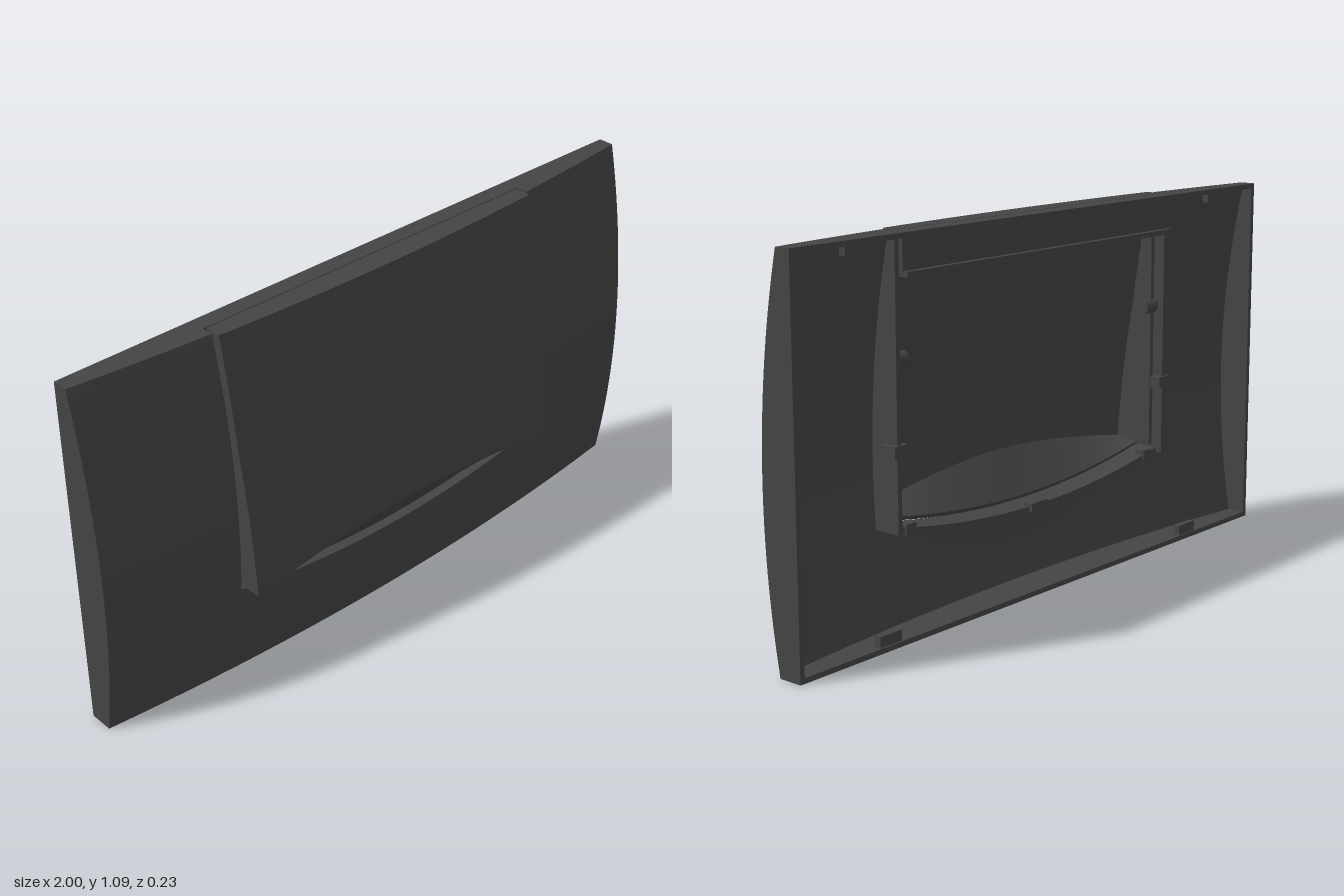
import * as THREE from 'three';
import { mergeGeometries, toCreasedNormals } from 'three/addons/utils/BufferGeometryUtils.js';

const plastic = new THREE.MeshStandardMaterial({ color: 0x444444 });
plastic.name = 'charcoal plastic';

const W = 1, H = 1.09, BACK = -0.115, T = 0.02;
const OPEN = 0.58, BTN = 0.572, NOTCH = 0.97, FLOOR = -0.063, CREASE = 0.77;
const lerp = THREE.MathUtils.lerp;

// Doubly curved face of the frame, and the flat finger scoop cut into it
const frameZ = (x, y) => 0.062 - 0.06 * x * x - 0.19 * (y - 0.485) ** 2;
const SCOOP = 0.039;
const openingY = x => 0.24 + 0.06 * (x / OPEN) ** 2;
const scoopY = x => Math.min(openingY(x),
  0.485 - Math.sqrt(Math.max(0, 0.062 - SCOOP - 0.06 * x * x) / 0.19));
const scoopZ = (x, y) => Math.min(SCOOP, frameZ(x, y));

// Face of the push button, in two gently curved panels
const lipY = x => 0.38 - 0.07 * (x / BTN) ** 2;
function buttonZ(x, y) {
  const t = y > CREASE ? (H - y) / (H - CREASE) : (CREASE - y) / 0.39;
  const z = y > CREASE ? 0.01 + 0.053 * (1.25 * t - 0.25 * t * t) : 0.063 + 0.052 * (1.4 * t - 0.4 * t * t);
  return z - 0.06 * x * x;
}

// Closed solid between a front and a back sheet, both given as (u, v) -> [x, y, z]
function solid(front, back, nu = 24, nv = 12) {
  const pos = [], idx = [], n = (nu + 1) * (nv + 1);
  for (const sheet of [front, back])
    for (let j = 0; j <= nv; j++)
      for (let i = 0; i <= nu; i++) pos.push(...sheet(i / nu, j / nv));
  const at = (i, j) => j * (nu + 1) + i;
  const quad = (a, b, c, d) => idx.push(a, b, c, a, c, d);
  for (let j = 0; j < nv; j++)
    for (let i = 0; i < nu; i++) {
      const q = [at(i, j), at(i + 1, j), at(i + 1, j + 1), at(i, j + 1)];
      quad(...q);
      quad(...q.reverse().map(k => k + n));
    }
  const edge = (a, b) => quad(b, a, a + n, b + n);
  for (let i = 0; i < nu; i++) {
    edge(at(i, 0), at(i + 1, 0));
    edge(at(i + 1, nv), at(i, nv));
  }
  for (let j = 0; j < nv; j++) {
    edge(at(nu, j), at(nu, j + 1));
    edge(at(0, j + 1), at(0, j));
  }
  const g = new THREE.BufferGeometry();
  g.setAttribute('position', new THREE.Float32BufferAttribute(pos, 3));
  g.setIndex(idx);
  return toCreasedNormals(g, 0.5);
}

// Solid over x0..x1 and y0(x)..y1(x), between two depth functions
function slab(x0, x1, y0, y1, zf, zb, nu, nv) {
  const f = a => (typeof a === 'function' ? a : () => a);
  const sheet = z => (u, v) => {
    const x = lerp(x0, x1, u), y = lerp(f(y0)(x), f(y1)(x), v);
    return [x, y, f(z)(x, y)];
  };
  return solid(sheet(zf), sheet(zb), nu, nv);
}

const span = (s, a, b) => (s > 0 ? [a, b] : [-b, -a]);

function part(name, geometries) {
  const m = new THREE.Mesh(mergeGeometries(geometries), plastic);
  m.name = name;
  return m;
}

function box(name, w, h, d, x, y, z) {
  const m = new THREE.Mesh(new THREE.BoxGeometry(w, h, d), plastic);
  m.name = name;
  m.position.set(x, y, z);
  return m;
}

export function createModel() {
  const model = new THREE.Group();
  model.name = 'wallPlate';
  const inner = (x, y) => frameZ(x, y) - T;

  // Frame face: bottom band, scoop and recessed strip under the button top
  const face = [
    slab(-OPEN, OPEN, 0, scoopY, frameZ, inner, 48, 10),
    slab(-OPEN, OPEN, scoopY, openingY, scoopZ, (x, y) => scoopZ(x, y) - T, 48, 4),
    slab(-OPEN, OPEN, NOTCH, H, FLOOR, FLOOR - T, 1, 1),
  ];
  // Outer rim walls, and flange round the opening
  const rim = [
    slab(-W, W, 0, 0.015, frameZ, BACK, 40, 1),
    slab(-OPEN, OPEN, H - 0.015, H, FLOOR, BACK, 1, 1),
  ];
  const flange = [
    slab(-OPEN, OPEN, x => openingY(x) - 0.015, openingY, (x, y) => scoopZ(x, y) - 0.005, -0.05, 32, 1),
    slab(-OPEN, OPEN, NOTCH, NOTCH + 0.015, FLOOR - 0.005, -0.1, 1, 1),
  ];
  for (const s of [-1, 1]) {
    face.push(slab(...span(s, OPEN, W), 0, H, frameZ, inner, 14, 28));
    rim.push(slab(...span(s, W - 0.015, W), 0, H, frameZ, BACK, 1, 28));
    rim.push(slab(...span(s, OPEN, W), H - 0.015, H, frameZ, BACK, 14, 1));
    flange.push(slab(...span(s, OPEN, OPEN + 0.015), 0.285, H - 0.01,
      (x, y) => frameZ(x, y) - 0.005, -0.07, 1, 20));
  }
  model.add(part('frameFace', face), part('frameRim', rim), part('openingFlange', flange));

  // Button panels, sloping finger grip and shell walls
  const button = new THREE.Group();
  button.name = 'button';
  const behind = (x, y) => buttonZ(x, y) - T;
  button.add(part('buttonUpperPanel', [slab(-BTN, BTN, CREASE, H, buttonZ, behind, 32, 10)]));
  // Sample just under the crease so the lower panel keeps its own curve
  button.add(part('buttonLowerPanel', [slab(-BTN, BTN, lipY, CREASE, buttonZ, behind, 32, 14)]));
  const grip = offset => (u, v) => {
    const x = lerp(-BTN, BTN, u), top = lipY(x);
    const low = openingY(x) + 0.007;
    return [x, lerp(low, top, v) + offset * 0.8, lerp(0.015, buttonZ(x, top), v) - offset * 0.5];
  };
  button.add(part('fingerGrip', [solid(grip(0), grip(0.015), 40, 4)]));
  const walls = [slab(-BTN, BTN, H - 0.015, H, buttonZ, -0.06, 32, 1)];
  for (const s of [-1, 1])
    walls.push(slab(...span(s, BTN - 0.015, BTN), 0.312, H, buttonZ, -0.04, 1, 32));
  button.add(part('buttonWalls', walls));
  model.add(button);

  // Hinge pins, latches and mounting clips on the rear
  for (const s of [-1, 1]) {
    const pin = new THREE.Mesh(new THREE.CylinderGeometry(0.022, 0.022, 0.07, 16), plastic);
    pin.name = 'hingePin';
    pin.rotation.z = Math.PI / 2;
    pin.position.set(s * 0.56, 0.745, -0.03);
    model.add(pin);
    model.add(box('sideLatch', 0.05, 0.035, 0.05, s * 0.585, 0.51, -0.05));
    model.add(box('lowerTab', 0.04, 0.03, 0.03, s * 0.53, 0.287, -0.04));
    model.add(box('topClip', 0.06, 0.03, 0.02, s * 0.78, H - 0.025, -0.1));
    model.add(box('bottomClip', 0.08, 0.035, 0.02, s * 0.67, 0.028, -0.1));
  }
  model.add(box('centreTab', 0.07, 0.025, 0.03, 0, 0.238, -0.045));
  return model;
}
